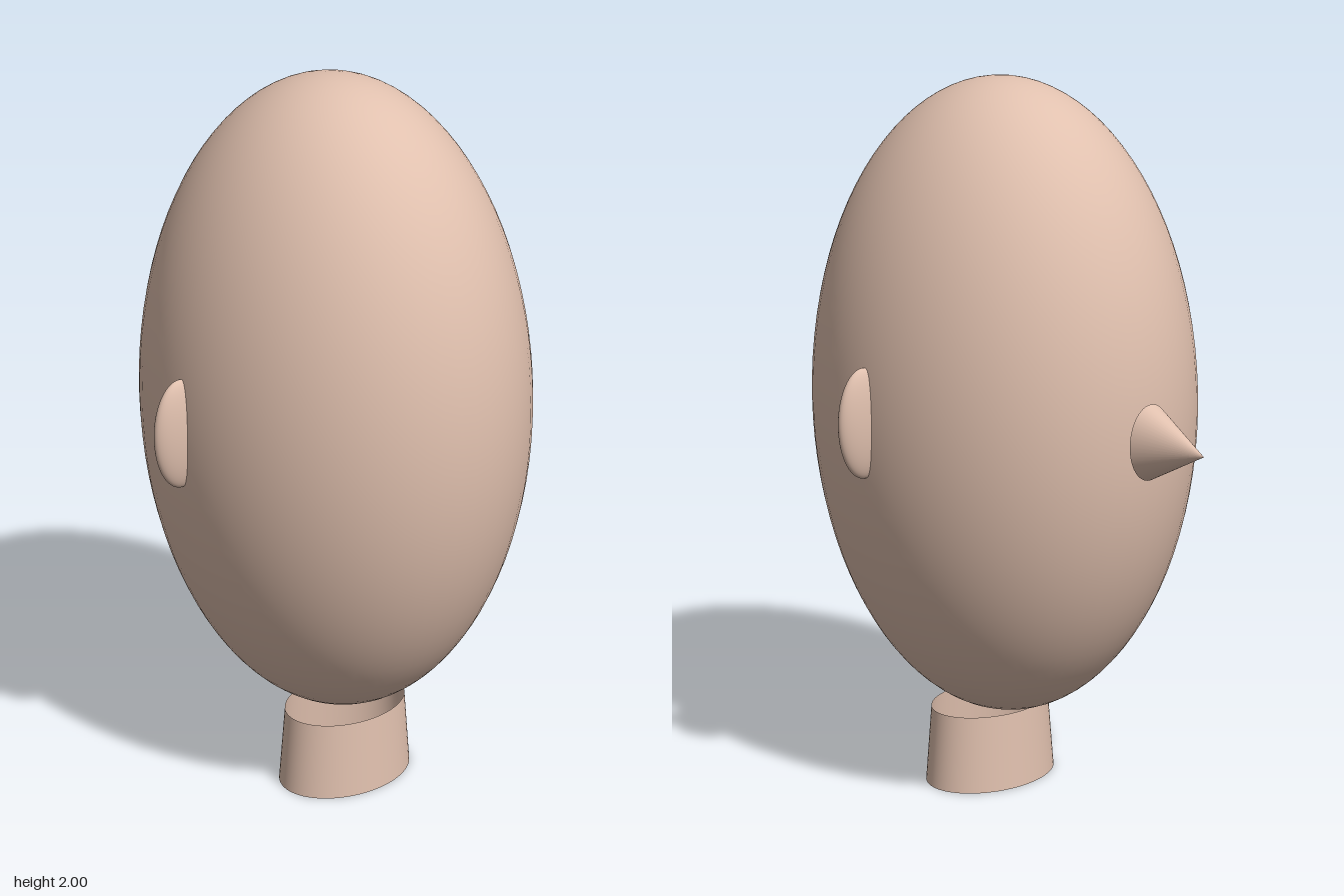
import * as THREE from 'three';

export function createModel() {
  const model = new THREE.Group();
  const skin = new THREE.MeshStandardMaterial({ color: 0xe0c0ae });
  const openSkin = skin.clone();
  openSkin.side = THREE.DoubleSide;

  const add = (name, geometry, material, x, y, z) => {
    const mesh = new THREE.Mesh(geometry, material);
    mesh.name = name;
    mesh.position.set(x, y, z);
    model.add(mesh);
    return mesh;
  };

  // Egg-shaped head
  add('head', new THREE.SphereGeometry(1, 64, 48).scale(0.49, 0.887, 0.583), skin, 0, 1.113, 0.102);

  // Flat oval ears, half sunk into the head
  for (const [name, side] of [['leftEar', 1], ['rightEar', -1]]) {
    add(name, new THREE.SphereGeometry(1, 40, 28).scale(0.08, 0.149, 0.033), skin, side * 0.488, 1.125, 0.086);
  }

  // Pointed nose, an oval cone aimed along -z
  const nose = new THREE.ConeGeometry(1, 0.196, 48, 1, true);
  nose.rotateX(-Math.PI / 2).scale(0.072, 0.101, 1);
  add('nose', nose, openSkin, 0, 1.104, -0.588);

  // Tapered oval neck, an open tube
  const neck = new THREE.CylinderGeometry(0.186, 0.205, 0.221, 64, 1, true).scale(1, 1, 0.727);
  add('neck', neck, openSkin, 0, 0.1105, 0.161);

  return model;
}
